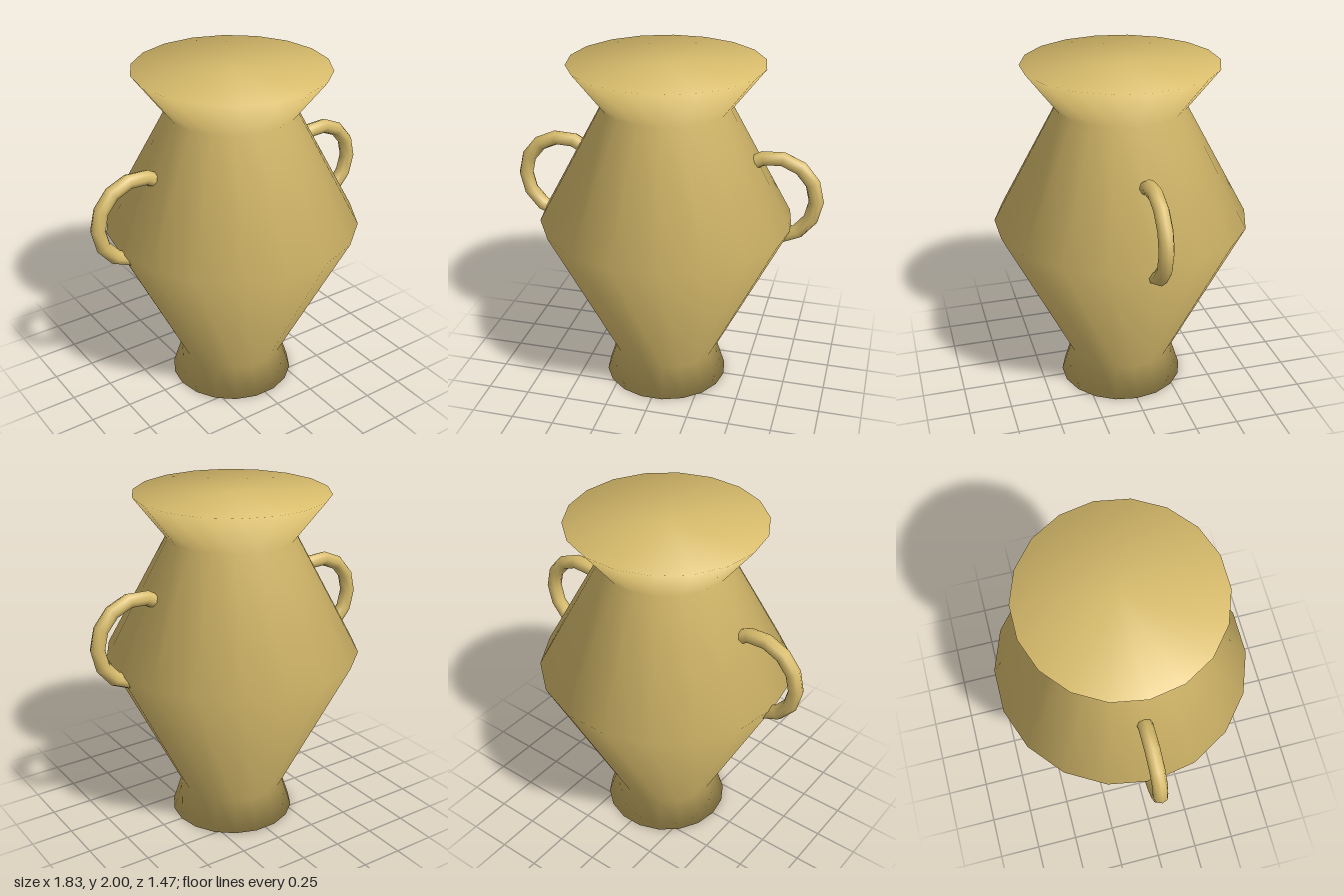
import * as THREE from 'three';

export function createModel() {
  const model = new THREE.Group();
  const clay = new THREE.MeshStandardMaterial({ color: 0xd8bc6c });

  // Closed, smooth-shaded body turned with 18 sides, corners on the x axis
  const profile = [
    [0, 0], [0.372, 0], [0.312, 0.19], [0.744, 1.065],
    [0.372, 1.755], [0.56, 2], [0, 2],
  ].map(([r, y]) => new THREE.Vector2(r, y));
  const body = new THREE.Mesh(new THREE.LatheGeometry(profile, 18, Math.PI / 2), clay);
  body.name = 'vaseBody';
  model.add(body);

  // Ring handles whose ends sink into the body
  const step = THREE.MathUtils.degToRad(26.5);
  const ring = new THREE.TorusGeometry(0.245, 0.043, 8, 8, step * 8);
  ring.rotateZ(-3 * step);
  for (const side of [1, -1]) {
    const handle = new THREE.Mesh(ring, clay);
    handle.name = side > 0 ? 'leftHandle' : 'rightHandle';
    handle.position.set(side * 0.629, 1.25, 0);
    // mirror by turning half round: the ring is symmetric in z
    if (side < 0) handle.rotation.y = Math.PI;
    model.add(handle);
  }
  return model;
}
